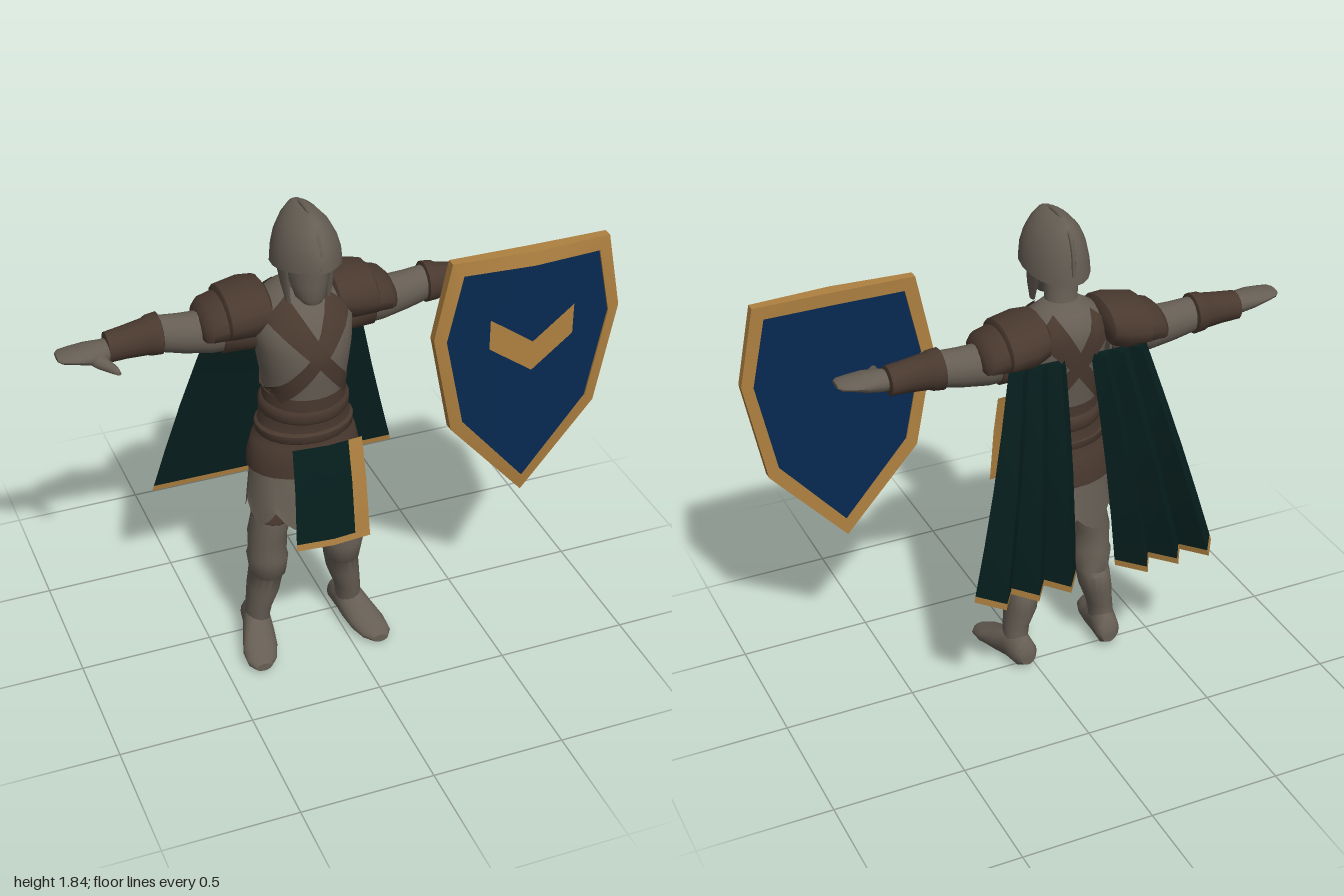
import * as THREE from 'three';
import { toCreasedNormals } from 'three/addons/utils/BufferGeometryUtils.js';

const material = (name, color) => {
  const m = new THREE.MeshStandardMaterial({ color, side: THREE.DoubleSide });
  m.name = name;
  return m;
};

function build(points, index, crease) {
  const g = new THREE.BufferGeometry();
  g.setAttribute('position', new THREE.Float32BufferAttribute(points.flat(), 3));
  g.setIndex(index);
  return toCreasedNormals(g, crease);
}

// Elliptical sections [t, u, v, ru, rv] with t rising along the axis; (u, v) are the other two axes in order
function loft(axis, sections, { sides = 16, caps = true, crease = 0.8, rule } = {}) {
  const place = { x: (t, u, v) => [t, u, v], y: (t, u, v) => [u, t, v], z: (t, u, v) => [u, v, t] }[axis];
  const turn = axis === 'y' ? -1 : 1;
  const points = [], index = [];
  sections.forEach(([t, u, v, ru, rv], i) => {
    for (let j = 0; j < sides; j++) {
      const a = turn * j / sides * Math.PI * 2;
      const p = place(t, u + ru * Math.cos(a), v + rv * Math.sin(a));
      points.push(rule ? rule(p, i, j) : p);
    }
  });
  const n = sections.length;
  for (let i = 0; i < n - 1; i++) for (let j = 0; j < sides; j++) {
    const k = (j + 1) % sides, a = i * sides, b = a + sides;
    index.push(a + j, a + k, b + j, a + k, b + k, b + j);
  }
  if (caps) for (const i of [0, n - 1]) {
    const [t, u, v] = sections[i], c = points.length;
    points.push(place(t, u, v));
    for (let j = 0; j < sides; j++) {
      const a = i * sides + j, b = i * sides + (j + 1) % sides;
      index.push(c, i ? a : b, i ? b : a);
    }
  }
  return build(points, index, crease);
}

// Sheet through rows of points
function sheet(rows, crease = 0.3) {
  const w = rows[0].length, index = [];
  for (let i = 0; i < rows.length - 1; i++) for (let j = 0; j < w - 1; j++) {
    const a = i * w + j, b = a + w;
    index.push(a, b, a + 1, a + 1, b, b + 1);
  }
  return build(rows.flat(), index, crease);
}

function mirrored(geometry) {
  const g = geometry.clone().scale(-1, 1, 1);
  g.setIndex(Array.from({ length: g.attributes.position.count }, (_, i) => i - i % 3 + [0, 2, 1][i % 3]));
  return g;
}

const mix = (a, b, t) => a.map((v, i) => v + (b[i] - v) * t);

export function createModel() {
  const steel = material('steel', 0x665e54), leather = material('leather', 0x49392f);
  const green = material('green cloth', 0x061f1e), gold = material('gold', 0xae8040), blue = material('blue', 0x062951);
  const model = new THREE.Group(), figure = new THREE.Group();
  figure.name = 'figure';
  figure.position.x = -0.135;
  model.add(figure);
  const add = (name, geometry, mat, parent = figure) => {
    const m = new THREE.Mesh(geometry, mat);
    m.name = name;
    parent.add(m);
  };
  const addPair = (name, geometry, mat) => {
    add(name + 'Left', geometry, mat);
    add(name + 'Right', mirrored(geometry), mat);
  };

  // Torso
  const torso = [[1.02, 0, 0.075, 0.15, 0.135], [1.12, 0, 0.075, 0.143, 0.14], [1.22, 0, 0.072, 0.16, 0.16],
    [1.32, 0, 0.068, 0.175, 0.17], [1.4, 0, 0.05, 0.185, 0.16], [1.46, 0, 0.03, 0.16, 0.135],
    [1.5, 0, 0.025, 0.115, 0.095], [1.53, 0, 0.035, 0.06, 0.06]];
  add('torso', loft('y', torso, { sides: 24 }), steel);

  // Crossed straps hugging the torso, front and back
  const surface = (x, y, side) => {
    const i = Math.max(0, torso.findIndex((s) => s[0] >= y) - 1);
    const [, , cz, rx, rz] = mix(torso[i], torso[i + 1], (y - torso[i][0]) / (torso[i + 1][0] - torso[i][0]));
    return cz + side * (rz * Math.sqrt(Math.max(0, 1 - (x / rx) ** 2)) + 0.012);
  };
  for (const side of [1, -1]) {
    const rows = [];
    for (let i = 0; i <= 14; i++) {
      const t = i / 14, x = 0.115 - 0.255 * t, y = 1.475 - 0.34 * t, w = 0.058 - 0.03 * Math.min(1, t * 2);
      rows.push([-1, -0.4, 0.4, 1].map((k) => {
        const px = x - k * w * 0.75, py = Math.min(1.51, y + k * w * 0.6);
        return [px, py, surface(px, py, side)];
      }));
    }
    addPair(side > 0 ? 'chestStrap' : 'backStrap', sheet(rows, 0.8), leather);
  }

  // Waist leather and belts
  add('waistLeather', loft('y', [[0.81, 0, 0.06, 0.212, 0.157], [0.86, 0, 0.06, 0.21, 0.155],
    [0.93, 0, 0.065, 0.193, 0.147], [0.94, 0, 0.065, 0.182, 0.142], [1.03, 0, 0.072, 0.165, 0.14],
    [1.1, 0, 0.075, 0.152, 0.143], [1.14, 0, 0.073, 0.153, 0.146]], { sides: 24 }), leather);
  for (const [y, rx, rz, h] of [[1.065, 0.165, 0.15, 0.03], [0.975, 0.182, 0.148, 0.022]])
    add('belt', loft('y', [[y - h, 0, 0.072, rx - 0.008, rz - 0.008], [y - h * 0.6, 0, 0.072, rx, rz],
      [y + h * 0.6, 0, 0.072, rx, rz], [y + h, 0, 0.072, rx - 0.01, rz - 0.01]], { sides: 24 }), leather);

  // Ragged mail skirt
  add('mailSkirt', loft('y', [[0.62, 0, 0.075, 0.222, 0.182], [0.7, 0, 0.07, 0.212, 0.172], [0.84, 0, 0.06, 0.195, 0.145]],
    { sides: 40, caps: false, rule: ([x, y, z], i, j) => [x, i ? y : y + [0.055, 0.02, -0.005, -0.015, 0.01][j % 5], z] }), steel);

  // Legs and feet
  addPair('leg', loft('y', [[0.05, 0.185, 0.03, 0.05, 0.065], [0.12, 0.184, 0.045, 0.047, 0.06],
    [0.17, 0.178, 0.05, 0.05, 0.062], [0.25, 0.16, 0.05, 0.061, 0.08], [0.32, 0.15, 0.055, 0.064, 0.08],
    [0.335, 0.148, 0.07, 0.068, 0.08], [0.41, 0.15, 0.075, 0.077, 0.09], [0.43, 0.15, 0.077, 0.07, 0.086],
    [0.52, 0.15, 0.08, 0.072, 0.086], [0.6, 0.13, 0.08, 0.074, 0.092], [0.74, 0.1, 0.07, 0.078, 0.085]]), steel);
  addPair('thighBand', loft('y', [[0.595, 0.131, 0.08, 0.072, 0.09], [0.6, 0.13, 0.08, 0.077, 0.095],
    [0.67, 0.117, 0.077, 0.079, 0.095], [0.68, 0.115, 0.076, 0.072, 0.085]]), leather);
  addPair('foot', loft('z', [[-0.055, 0.175, 0.06, 0.03, 0.03], [-0.035, 0.178, 0.07, 0.048, 0.06],
    [0.04, 0.187, 0.08, 0.054, 0.075], [0.1, 0.2, 0.062, 0.062, 0.06], [0.17, 0.218, 0.042, 0.068, 0.038],
    [0.23, 0.23, 0.032, 0.057, 0.027], [0.262, 0.235, 0.026, 0.03, 0.016]],
    { rule: ([x, y, z]) => [x, Math.max(y, 0.006 + Math.max(0, 0.05 - z) * 0.2), z] }), steel);

  // Arms, bracers and hands
  addPair('upperArm', loft('x', [[0.13, 1.37, 0, 0.09, 0.09], [0.32, 1.36, -0.01, 0.08, 0.075],
    [0.42, 1.37, -0.015, 0.073, 0.065], [0.51, 1.385, -0.02, 0.065, 0.06]]), steel);
  addPair('sleeve', loft('x', [[0.14, 1.355, 0, 0.08, 0.095], [0.28, 1.358, -0.008, 0.086, 0.082],
    [0.285, 1.358, -0.008, 0.075, 0.073]]), leather);
  addPair('bracer', loft('x', [[0.49, 1.385, -0.02, 0.062, 0.06], [0.495, 1.385, -0.02, 0.076, 0.075],
    [0.53, 1.385, -0.018, 0.073, 0.072], [0.545, 1.384, -0.016, 0.067, 0.064], [0.62, 1.38, -0.012, 0.059, 0.057],
    [0.685, 1.375, -0.008, 0.054, 0.057], [0.69, 1.374, -0.008, 0.03, 0.035]]), leather);
  addPair('hand', loft('x', [[0.66, 1.373, -0.005, 0.035, 0.04], [0.71, 1.374, 0.01, 0.039, 0.053],
    [0.76, 1.379, 0.013, 0.033, 0.06], [0.81, 1.384, 0.014, 0.022, 0.056], [0.85, 1.387, 0.015, 0.016, 0.046],
    [0.865, 1.388, 0.016, 0.008, 0.03]]), steel);
  addPair('thumb', loft('z', [[0.03, 0.74, 1.372, 0.038, 0.024], [0.08, 0.717, 1.364, 0.028, 0.02],
    [0.115, 0.693, 1.358, 0.018, 0.015], [0.14, 0.682, 1.355, 0.008, 0.007]], { sides: 10 }), steel);

  // Layered shoulder plates, sloping down and outward over the arms
  const drape = (bottom) => ([x, y, z]) => [x, Math.max(y, bottom - 0.5 * Math.abs(z + 0.015)), z];
  addPair('shoulderPlate', loft('x', [[0.11, 1.45, -0.01, 0.05, 0.1], [0.125, 1.44, -0.013, 0.083, 0.135],
    [0.18, 1.43, -0.015, 0.098, 0.145], [0.27, 1.415, -0.015, 0.095, 0.138], [0.278, 1.415, -0.015, 0.08, 0.12]],
    { rule: drape(1.41) }), leather);
  addPair('shoulderCap', loft('x', [[0.25, 1.41, -0.015, 0.08, 0.115], [0.265, 1.41, -0.015, 0.085, 0.125],
    [0.33, 1.4, -0.015, 0.074, 0.12], [0.352, 1.39, -0.015, 0.062, 0.1], [0.36, 1.39, -0.015, 0.045, 0.08]],
    { rule: drape(1.4) }), leather);

  // Head, helmet and cheek guards
  add('neck', loft('y', [[1.45, 0, 0.035, 0.085, 0.075], [1.53, 0, 0.045, 0.06, 0.058], [1.64, 0, 0.05, 0.062, 0.062]]), steel);
  add('face', loft('y', [[1.51, 0, 0.165, 0.035, 0.035], [1.53, 0, 0.15, 0.055, 0.058], [1.58, 0, 0.13, 0.067, 0.08],
    [1.64, 0, 0.1, 0.075, 0.115], [1.72, 0, 0.1, 0.075, 0.115]]), steel);
  const dome = ([x, y, z]) => {
    const front = Math.max(0, (z - 0.15) / 0.13);
    return [x * (1 - 0.3 * front * front), y + (z - 0.1) * 0.16 * Math.max(0, (1.84 - y) / 0.2), z];
  };
  add('helmet', loft('y', [[1.64, 0, 0.106, 0.12, 0.168], [1.69, 0, 0.106, 0.115, 0.165], [1.74, 0, 0.102, 0.102, 0.152],
    [1.785, 0, 0.098, 0.08, 0.13], [1.82, 0, 0.096, 0.048, 0.105], [1.835, 0, 0.096, 0.018, 0.075]],
    { sides: 20, crease: 0.6, rule: dome }), steel);
  const crest = new THREE.CatmullRomCurve3([[1.68, 0.269], [1.745, 0.25], [1.795, 0.215], [1.828, 0.16], [1.832, 0.05],
    [1.79, -0.025], [1.73, -0.05], [1.65, -0.058]].map(([y, z]) => new THREE.Vector3(0, y, z)));
  add('helmetRidge', new THREE.TubeGeometry(crest, 20, 0.008, 6), steel);
  addPair('cheekGuard', loft('y', [[1.5, 0.072, 0.13, 0.008, 0.015], [1.56, 0.079, 0.115, 0.012, 0.035],
    [1.67, 0.088, 0.09, 0.014, 0.06]], { sides: 8 }), steel);

  // Two cape panels, pleated behind and lined in front, with gold hems
  const hem = [[0.08, -0.265], [0.155, -0.38], [0.215, -0.275], [0.282, -0.38], [0.345, -0.275], [0.41, -0.38], [0.485, -0.265]]
    .map(([x, z]) => [x, 0.55 - (z + 0.265) * 0.15, z]);
  const top = hem.map(([, , z], i) => [0.05 + i * 0.0365, 1.36, -0.1 + (z + 0.265) * 0.35]);
  const capeRow = (t) => hem.map((p, i) => {
    const q = mix(top[i], p, t);
    return [q[0], q[1], q[2] - 0.02 * Math.sin(t * Math.PI)];
  });
  const liningRow = (t) => [capeRow(t)[0], capeRow(t)[6]];
  const drops = [0, 0.25, 0.5, 0.75, 0.972];
  addPair('capePanel', sheet(drops.map(capeRow)), green);
  addPair('capeHem', sheet([0.972, 1].map(capeRow)), gold);
  addPair('capeLining', sheet(drops.map(liningRow)), green);
  addPair('capeLiningHem', sheet([0.972, 1].map(liningRow)), gold);

  // Hanging front cloth with gold edges
  const clothRow = (xs) => ([y, z, s]) => xs.map((x) => [x * s, y, z + 0.012 * (1 - Math.abs(x) / 0.14)]);
  const drop = [[1.01, 0.307, 0.95], [0.85, 0.342, 0.98], [0.645, 0.366, 1.02]];
  const low = [drop[2], [0.62, 0.37, 1.03]];
  add('frontCloth', sheet(drop.map(clothRow([-0.135, -0.06, 0, 0.082])), 0.6), green);
  add('frontClothEdge', sheet(drop.map(clothRow([0.082, 0.138])), 0.6), gold);
  add('frontClothHem', sheet(low.map(clothRow([-0.135, -0.06, 0, 0.082, 0.138])), 0.6), gold);

  // Shield: curved blue board in a bevelled gold rim
  const shield = new THREE.Group();
  shield.name = 'shield';
  shield.position.x = 0.635;
  model.add(shield);
  const outer = [[0, 1.615], [0.3, 1.615], [0.36, 1.32], [0.285, 0.935], [0, 0.615]];
  const inner = [[0, 1.565], [0.26, 1.565], [0.315, 1.31], [0.245, 0.965], [0, 0.68]];
  const loop = (half, z, bend) => [...half, ...half.slice(0, -1).reverse().map(([x, y]) => [-x, y])]
    .map(([x, y]) => [x, y, z - bend * Math.abs(x)]);
  add('shieldRim', sheet([loop(inner, 0.252, 0.01), loop(outer, 0.25, 0.01), loop(outer, 0.3, 0.06),
    loop(inner, 0.31, 0.07), loop(inner, 0.252, 0.01)]), gold, shield);
  const board = (z, bend) => sheet(inner.slice(1).map(([x, y]) => [-x, 0, x].map((k) => [k, y, z - bend * Math.abs(k)])), 0.6);
  add('shieldFront', board(0.303, 0.07), blue, shield);
  add('shieldBack', board(0.258, 0.01), blue, shield);
  add('shieldChevron', sheet([0, 0.118].map((d) => [-0.162, 0, 0.162].map((x) =>
    [x, 1.27 - d + Math.abs(x) * 0.69, 0.328 - Math.abs(x) * 0.09])), 0.1), gold, shield);

  return model;
}
